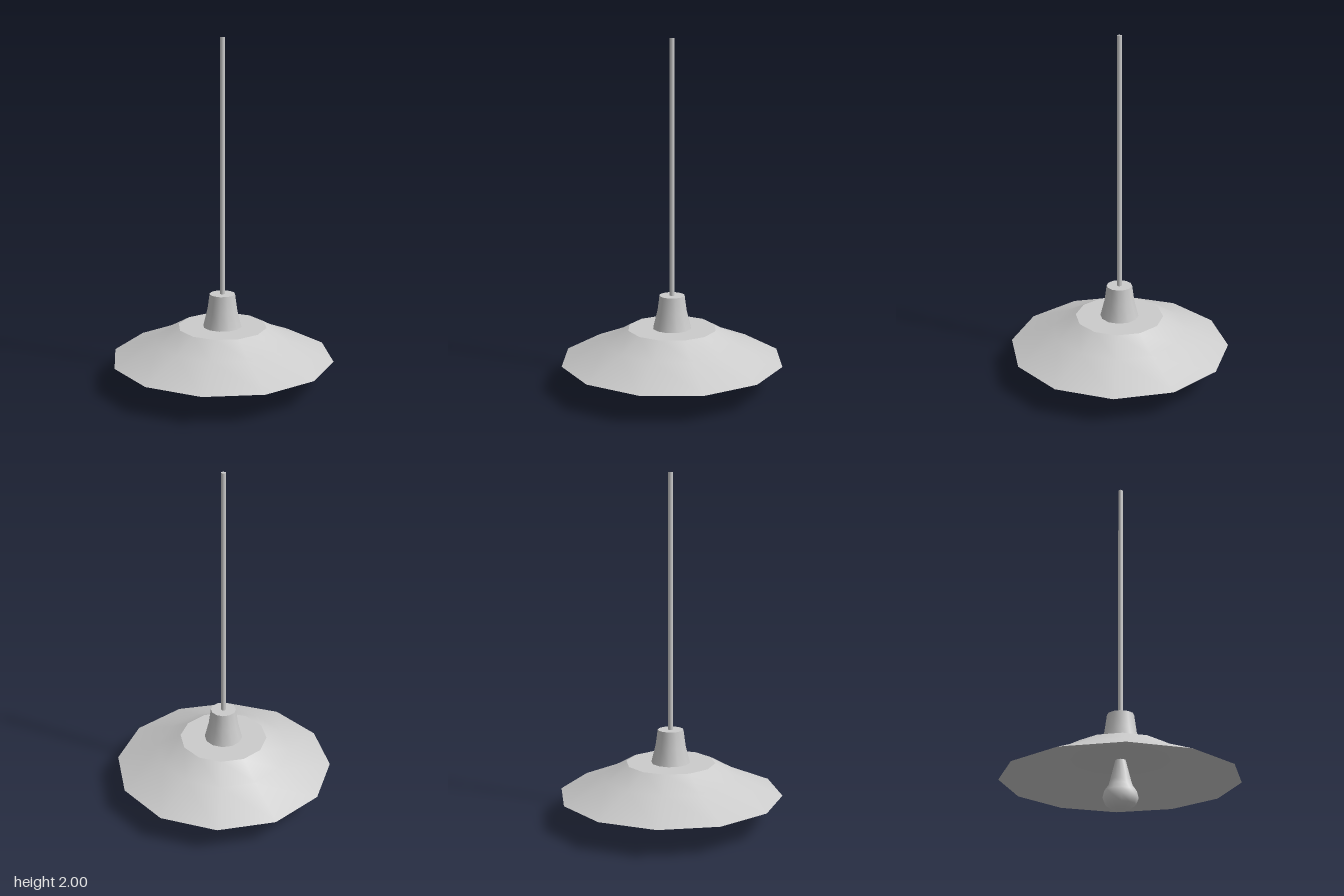
import * as THREE from 'three';

const SIDES = 12;

export function createModel() {
  const group = new THREE.Group();
  group.name = 'pendantLamp';
  const material = new THREE.MeshStandardMaterial({ color: 0xcccccc });

  // Turned part from [radius, height] points; the outside lies to the right of the path
  function turned(name, profile) {
    const points = profile.map(([r, y]) => new THREE.Vector2(r, y));
    const mesh = new THREE.Mesh(new THREE.LatheGeometry(points, SIDES), material);
    mesh.name = name;
    group.add(mesh);
  }

  // Shade top: sloping skirt and flat crown with a sharp edge between them
  turned('shadeSkirt', [[0.65, 0.16], [0.4, 0.263], [0.26, 0.341]]);
  turned('shadeCrown', [[0.26, 0.341], [0, 0.341]]);

  // Shade underside: flat ceiling set lower than the crown, sloping to the rim
  turned('shadeCeiling', [[0, 0.275], [0.275, 0.275]]);
  turned('shadeLining', [[0.275, 0.275], [0.41, 0.236], [0.65, 0.16]]);

  // Tapered lamp holder with a flat cap
  turned('holder', [[0.113, 0.341], [0.088, 0.44], [0.075, 0.535]]);
  turned('holderCap', [[0.075, 0.535], [0, 0.535]]);

  // Bulb hanging from the ceiling of the shade, neck narrowing upwards
  turned('bulb', [
    [0, 0], [0.047, 0.008], [0.082, 0.031], [0.096, 0.067],
    [0.087, 0.105], [0.064, 0.138], [0.056, 0.165], [0.028, 0.275],
  ]);

  // Hanging rod
  const rod = new THREE.Mesh(new THREE.CylinderGeometry(0.014, 0.014, 1.465, SIDES), material);
  rod.name = 'rod';
  rod.position.y = 0.535 + 1.465 / 2;
  group.add(rod);

  return group;
}
